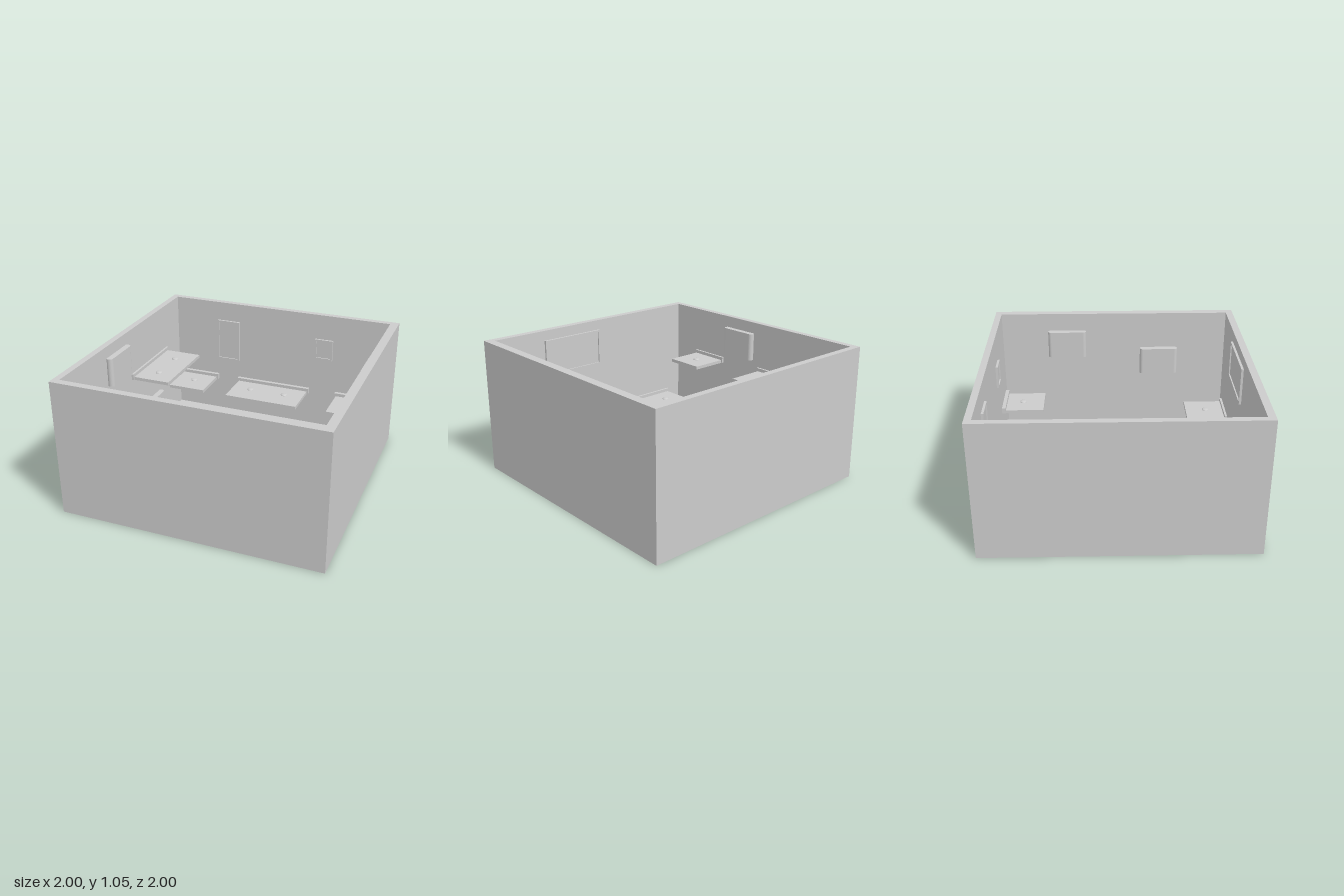
import * as THREE from 'three';

const mat = new THREE.MeshStandardMaterial({ color: 0xcccccc });
const HEIGHT = 1.055, FLOOR = 0.047;
// inner faces of the four walls
const IN = { left: -0.95, right: 0.935, back: -0.95, front: 0.945 };

function add(parent, name, geometry, x = 0, y = 0, z = 0) {
  const mesh = new THREE.Mesh(geometry, mat);
  mesh.name = name;
  mesh.position.set(x, y, z);
  parent.add(mesh);
  return mesh;
}

const box = (w, h, d) => new THREE.BoxGeometry(w, h, d);

// rectangle outline, usable as a shape or a hole
function rect(path, x0, y0, x1, y1) {
  path.moveTo(x0, y0);
  path.lineTo(x1, y0);
  path.lineTo(x1, y1);
  path.lineTo(x0, y1);
  path.closePath();
  return path;
}

// open-topped shell: one extruded ring of walls and a floor slab
function room(parent) {
  const shape = rect(new THREE.Shape(), -1, -1, 1, 1);
  shape.holes.push(rect(new THREE.Path(), IN.left, -IN.front, IN.right, -IN.back));
  const walls = new THREE.ExtrudeGeometry(shape, { depth: HEIGHT, bevelEnabled: false });
  walls.rotateX(-Math.PI / 2);
  add(parent, 'walls', walls);
  add(parent, 'floor', box(1.99, FLOOR, 1.99), 0, FLOOR / 2, 0);
}

// group on a wall: local +z points into the room, y stays up
function mount(parent, name, wall, along) {
  const g = new THREE.Group();
  g.name = name;
  const onX = wall === 'left' || wall === 'right';
  g.position.set(onX ? IN[wall] : along, 0, onX ? along : IN[wall]);
  g.rotation.y = { back: 0, front: Math.PI, left: Math.PI / 2, right: -Math.PI / 2 }[wall];
  parent.add(g);
  return g;
}

// shelf board with a wall rail and low round studs
function shelf(parent, wall, from, to, depth, top, studs, rail = 0.018) {
  const g = mount(parent, wall + 'Shelf', wall, (from + to) / 2);
  const w = to - from;
  add(g, 'board', box(w, 0.026, depth), 0, top - 0.013, depth / 2);
  add(g, 'wallRail', box(w + 0.026, 0.048, rail), 0, top + 0.002, rail / 2);
  const profile = [[0.028, 0], [0.027, 0.005], [0.022, 0.009], [0.013, 0.011], [0, 0.012]]
    .map(([r, y]) => new THREE.Vector2(r, y));
  const stud = new THREE.LatheGeometry(profile, 20);
  for (let i = 0; i < studs; i++) {
    add(g, 'stud', stud, (i - (studs - 1) / 2) * 0.307, top, 0.165);
  }
}

// upright panel with rounded ends
function pillPanel(parent, wall, along, bottom, offset) {
  const r = 0.027, half = 0.16 - r, h = 0.225;
  const s = new THREE.Shape();
  s.moveTo(-half, -r);
  s.lineTo(half, -r);
  s.absarc(half, 0, r, -Math.PI / 2, Math.PI / 2, false);
  s.lineTo(-half, r);
  s.absarc(-half, 0, r, Math.PI / 2, Math.PI * 1.5, false);
  const geo = new THREE.ExtrudeGeometry(s, { depth: h, bevelEnabled: false, curveSegments: 14 });
  geo.rotateX(-Math.PI / 2);
  const g = mount(parent, wall + 'PillPanel', wall, along);
  add(g, 'panel', geo, 0, bottom, offset);
}

// picture: raised border around a recessed sheet
function picture(parent, wall, from, to, y0, y1) {
  const g = mount(parent, wall + 'Picture', wall, (from + to) / 2);
  const w = (to - from) / 2, b = 0.015;
  const s = rect(new THREE.Shape(), -w, y0, w, y1);
  s.holes.push(rect(new THREE.Path(), -w + b, y0 + b, w - b, y1 - b));
  add(g, 'border', new THREE.ExtrudeGeometry(s, { depth: 0.018, bevelEnabled: false }));
  add(g, 'sheet', box(2 * w - b, y1 - y0 - b, 0.008), 0, (y0 + y1) / 2, 0.004);
}

export function createModel() {
  const model = new THREE.Group();
  model.name = 'openRoom';
  room(model);

  // shelves: wall, start, end, depth, top height, studs
  shelf(model, 'back', -0.895, -0.575, 0.34, 0.357, 1, 0.03);
  shelf(model, 'back', -0.36, 0.27, 0.35, 0.354, 2, 0.03);
  shelf(model, 'back', 0.53, 0.85, 0.345, 0.355, 1, 0.03);
  shelf(model, 'left', -0.672, -0.06, 0.32, 0.657, 2);
  shelf(model, 'left', 0.37, 0.683, 0.312, 0.657, 1);
  shelf(model, 'front', -0.8, -0.185, 0.315, 0.258, 2);
  shelf(model, 'front', 0.01, 0.32, 0.345, 0.255, 1);
  shelf(model, 'front', 0.533, 0.845, 0.335, 0.26, 1);

  // pill-shaped panels
  pillPanel(model, 'left', 0.165, 0.738, 0.02);
  pillPanel(model, 'left', -0.37, 0.113, 0.02);
  pillPanel(model, 'right', -0.402, 0.688, 0.042);
  pillPanel(model, 'right', 0.378, 0.53, 0.042);

  // pictures
  picture(model, 'back', -0.565, -0.363, 0.535, 0.895);
  picture(model, 'back', 0.32, 0.475, 0.665, 0.843);
  picture(model, 'front', -0.043, 0.495, 0.68, 0.974);

  return model;
}
